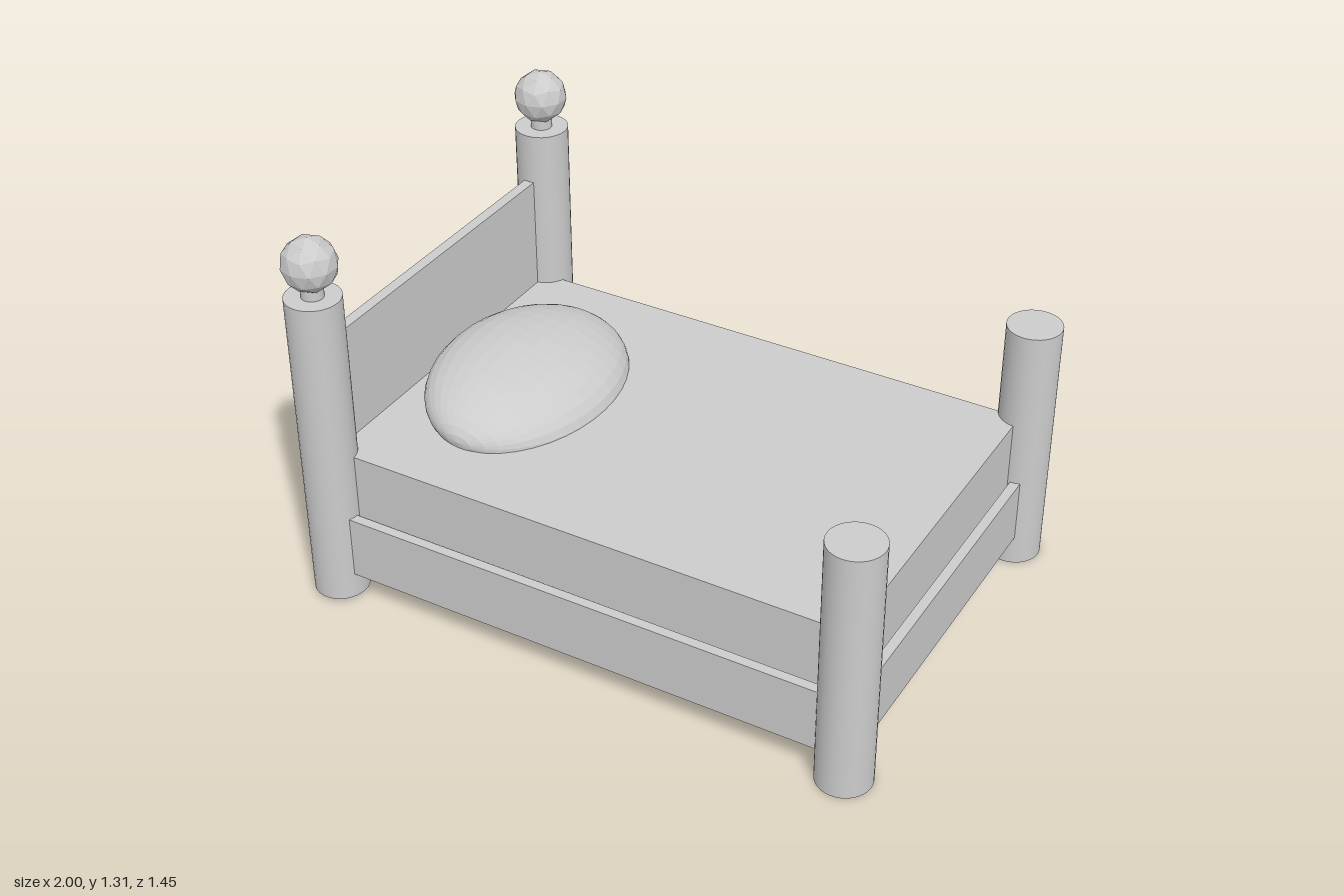
import * as THREE from 'three';

const smooth = new THREE.MeshStandardMaterial({ color: 0xcccccc });
const faceted = new THREE.MeshStandardMaterial({ color: 0xcccccc, flatShading: true });

export function createModel() {
  const bed = new THREE.Group();
  bed.name = 'bed';

  const add = (name, geometry, material = smooth) => {
    const mesh = new THREE.Mesh(geometry, material);
    mesh.name = name;
    bed.add(mesh);
    return mesh;
  };
  // Box given by its extents on each axis
  const box = (name, [x0, x1], [y0, y1], [z0, z1]) =>
    add(name, new THREE.BoxGeometry(x1 - x0, y1 - y0, z1 - z0))
      .position.set((x0 + x1) / 2, (y0 + y1) / 2, (z0 + z1) / 2);
  // Upright cylinder from y0 to y1
  const post = (name, r, x, y0, y1, z) =>
    add(name, new THREE.CylinderGeometry(r, r, y1 - y0, 32)).position.set(x, (y0 + y1) / 2, z);

  // Corner posts, the head pair topped with ball finials
  for (const z of [-0.637, 0.637]) {
    post('headPost', 0.09, -0.91, 0.015, 1.107, z);
    post('footPost', 0.09, 0.91, 0, 0.873, z);
    post('finialNeck', 0.036, -0.91, 1.1, 1.16, z);
    const ball = add('finialBall', new THREE.IcosahedronGeometry(0.09, 1), faceted);
    ball.position.set(-0.91, 1.219, z);
    ball.rotation.z = -Math.atan(2 / (1 + Math.sqrt(5))); // a vertex points up
  }

  // Boards and rails
  box('headboard', [-0.93, -0.893], [0.06, 0.933], [-0.62, 0.62]);
  box('footRail', [0.91, 0.943], [0.103, 0.321], [-0.62, 0.62]);
  box('backRail', [-0.9, 0.9], [0.103, 0.321], [-0.637, -0.603]);
  box('frontRail', [-0.9, 0.9], [0.103, 0.321], [0.64, 0.673]);

  // Mattress
  box('mattress', [-0.893, 0.902], [0.17, 0.538], [-0.606, 0.628]);

  // Pillow: squashed ball leaning towards the headboard
  const pillow = add('pillow',
    new THREE.SphereGeometry(1, 32, 20).rotateX(Math.PI / 2).scale(0.297, 0.138, 0.413), faceted);
  pillow.position.set(-0.567, 0.56, 0.015);
  pillow.rotation.z = -0.16;

  return bed;
}
